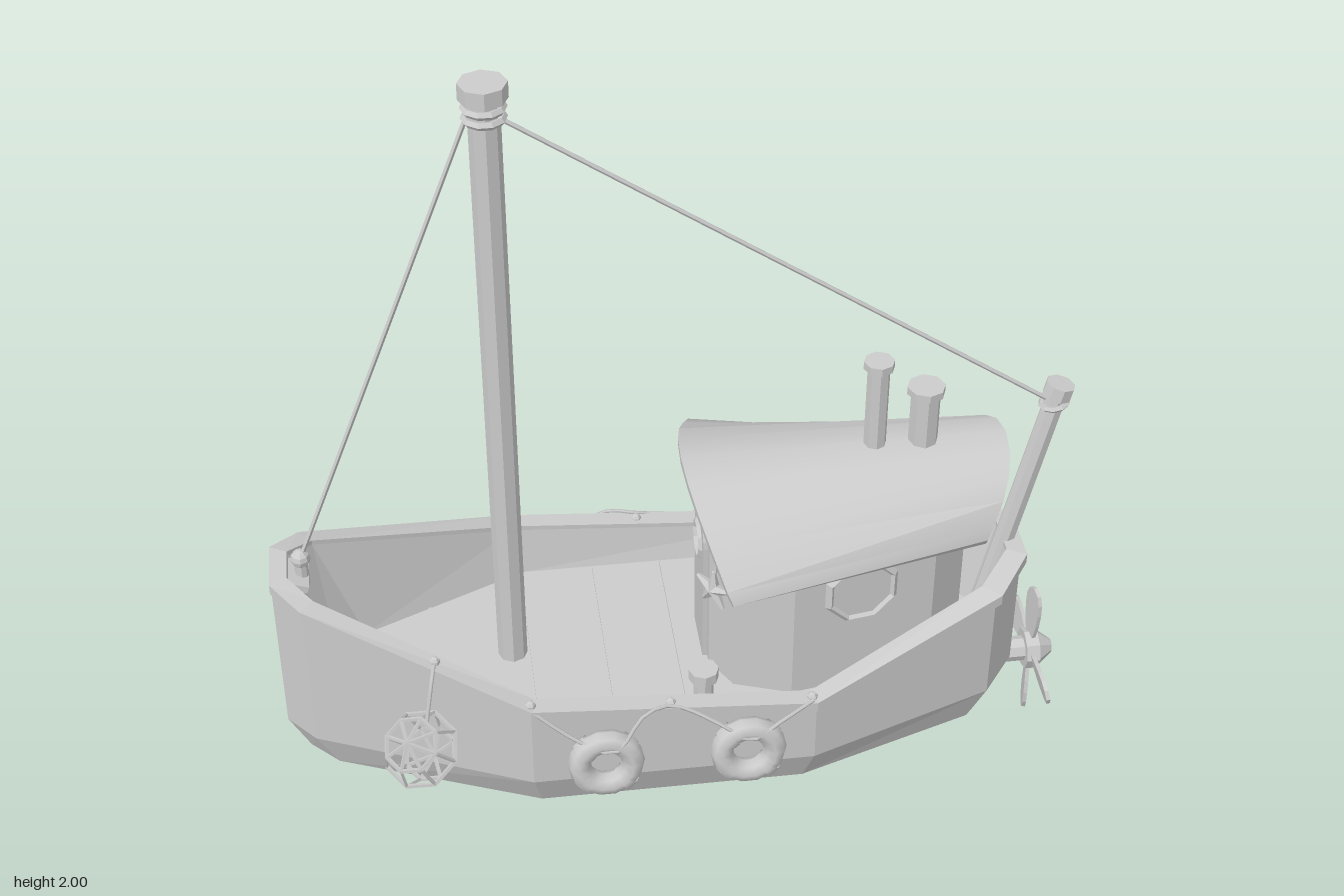
import * as THREE from 'three';
import { toCreasedNormals } from 'three/addons/utils/BufferGeometryUtils.js';

const V = (x, y, z) => new THREE.Vector3(x, y, z);
const flat = new THREE.MeshStandardMaterial({ color: 0xcccccc, flatShading: true });
const smooth = new THREE.MeshStandardMaterial({ color: 0xcccccc });
const thin = new THREE.MeshStandardMaterial({ color: 0xcccccc, side: THREE.DoubleSide });

// Skin through closed rings of equal length, with both ends capped
function loft(rings, closed = false) {
  const pos = [], n = rings[0].length;
  const tri = (...p) => p.forEach(v => pos.push(v.x, v.y, v.z));
  const last = closed ? rings.length : rings.length - 1;
  for (let r = 0; r < last; r++) {
    const a = rings[r], b = rings[(r + 1) % rings.length];
    for (let i = 0; i < n; i++) {
      const j = (i + 1) % n;
      tri(a[i], a[j], b[j]);
      tri(a[i], b[j], b[i]);
    }
  }
  if (!closed) [rings[0], rings[rings.length - 1]].forEach((ring, end) => {
    const c = ring.reduce((s, p) => s.add(p), V(0, 0, 0)).divideScalar(n);
    for (let i = 0; i < n; i++) {
      const j = (i + 1) % n;
      end ? tri(c, ring[i], ring[j]) : tri(c, ring[j], ring[i]);
    }
  });
  const g = new THREE.BufferGeometry();
  g.setAttribute('position', new THREE.Float32BufferAttribute(pos, 3));
  g.computeVertexNormals();
  return g;
}

// Mirror a half outline of [x, z] pairs into a full ring; y is a number or a list
function ring(half, y, sz = 1) {
  const side = half.map(([x, z], i) => V(x, Array.isArray(y) ? y[i] : y, z * sz));
  return [...side, ...side.map(p => V(p.x, p.y, -p.z)).reverse()];
}

export function createModel() {
  const model = new THREE.Group();
  model.name = 'fishingBoat';

  function add(name, geo, p = [0, 0, 0], rot = [0, 0, 0], mat = flat, parent = model) {
    const m = new THREE.Mesh(geo, mat);
    m.name = name;
    m.position.set(...p);
    m.rotation.set(...rot);
    parent.add(m);
    return m;
  }
  function rod(name, a, b, r, sides = 6, parent = model, r2 = r) {
    const d = V(...b).sub(V(...a));
    const m = add(name, new THREE.CylinderGeometry(r2, r, d.length(), sides), [0, 0, 0], [0, 0, 0], flat, parent);
    m.position.set(...a).addScaledVector(d, 0.5);
    m.quaternion.setFromUnitVectors(V(0, 1, 0), d.normalize());
    return m;
  }
  const rope = (name, pts, r = 0.005) =>
    add(name, new THREE.TubeGeometry(new THREE.CatmullRomCurve3(pts.map(p => V(...p)), false, 'centripetal'), 24, r, 5), undefined, undefined, smooth);
  const group = (name, p, rot = [0, 0, 0]) => {
    const g = new THREE.Group();
    g.name = name;
    g.position.set(...p);
    g.rotation.set(...rot);
    model.add(g);
    return g;
  };

  // Hull: outside up to the rail, then inside down to the deck
  const plan = [[-1, 0.06], [-0.93, 0.14], [-0.4, 0.365], [0.3, 0.365], [0.78, 0.19], [0.87, 0.07]];
  const inner = [[-0.96, 0.05], [-0.9, 0.115], [-0.39, 0.33], [0.29, 0.33], [0.75, 0.16], [0.835, 0.055]];
  const deck = [[-0.86, 0.05], [-0.79, 0.12], [-0.37, 0.31], [0.23, 0.31], [0.68, 0.15], [0.78, 0.05]];
  const chine = [[-0.95, 0.05], [-0.88, 0.12], [-0.38, 0.32], [0.28, 0.32], [0.74, 0.165], [0.82, 0.06]];
  const bottom = [[-0.82, 0.03], [-0.76, 0.08], [-0.34, 0.26], [0.25, 0.26], [0.68, 0.12], [0.77, 0.04]];
  const sheer = [0.69, 0.665, 0.48, 0.425, 0.565, 0.59];
  add('hull', loft([ring(bottom, 0.1), ring(chine, 0.14), ring(plan, 0.245), ring(plan, sheer), ring(inner, sheer), ring(deck, 0.35)]));
  add('keel', new THREE.BoxGeometry(1.55, 0.03, 0.03), [0, 0.095, 0]);
  const grow = plan.map(([x, z]) => [x + (x < -0.9 ? -0.003 : x > 0.7 ? 0.012 : 0), z + 0.013]);
  const lift = d => sheer.map(y => y + d);
  add('rail', loft([ring(grow, lift(-0.015)), ring(grow, lift(0.013)), ring(inner, lift(0.013)), ring(inner, lift(-0.015))], true));
  for (const [x, w] of [[-0.62, 0.19], [-0.37, 0.3], [-0.18, 0.3], [0, 0.3]])
    add('deckSeam', new THREE.BoxGeometry(0.012, 0.01, 2 * w), [x, 0.353, 0]);

  // Wheelhouse with gable ends closing against the roof
  const cabin = [[0.07, 0.1], [0.12, 0.19], [0.26, 0.24], [0.62, 0.18], [0.71, 0.1]];
  add('cabin', loft([ring(cabin, 0.34), ring(cabin, 0.77), ring(cabin, 0.87, 0.6), ring(cabin, 0.915, 0.22)]));
  // Arched roof: y, half width at the front, half width at the back
  const arch = [[0.76, 0.36, 0.2], [0.79, 0.345, 0.19], [0.85, 0.25, 0.165], [0.895, 0.17, 0.125], [0.925, 0.09, 0.07], [0.937, 0, 0]];
  const spans = [...arch, ...arch.slice(0, -1).reverse().map(([y, f, b]) => [y, -f, -b])];
  add('roof', toCreasedNormals(loft(spans.map(([y, f, b]) => {
    const k = (y - 0.76) / 0.18, x0 = 0.09 - 0.08 * k, x1 = 0.74 + 0.08 * k, t = 0.94;
    return [V(x0, y, f), V(x1, y, b), V(x1, y - 0.02, b * t), V(x0, y - 0.02, f * t)];
  })), 0.5), undefined, undefined, smooth);

  // Octagonal side windows
  for (const s of [1, -1]) {
    const w = group('sideWindow', [0.43, 0.65, s * 0.213], [0, s > 0 ? 0.165 : Math.PI - 0.165, 0]);
    add('windowFrame', new THREE.TorusGeometry(0.088, 0.013, 4, 8), [0, 0, 0], [0, 0, Math.PI / 8], flat, w);
    add('windowPane', new THREE.CylinderGeometry(0.085, 0.085, 0.01, 8), [0, 0, 0], [Math.PI / 2, Math.PI / 8, 0], flat, w);
  }
  // Arched door with a round window
  const doorShape = new THREE.Shape().moveTo(-0.075, 0).lineTo(0.075, 0).lineTo(0.075, 0.35);
  doorShape.absarc(0, 0.35, 0.075, 0, Math.PI);
  doorShape.holes.push(new THREE.Path().absarc(0, 0.33, 0.045, 0, Math.PI * 2, true));
  const door = group('door', [0.07, 0.35, 0], [0, -Math.PI / 2, 0]);
  add('doorPanel', new THREE.ExtrudeGeometry(doorShape, { depth: 0.012, bevelEnabled: false, curveSegments: 6 }), undefined, undefined, flat, door);
  add('doorWindowFrame', new THREE.TorusGeometry(0.047, 0.009, 4, 10), [0, 0.33, 0.012], undefined, flat, door);

  // Chimneys
  for (const [x, r, top] of [[0.49, 0.028, 1.18], [0.61, 0.037, 1.095]]) {
    rod('chimney', [x, 0.88, 0], [x, top, 0], r, 8);
    rod('chimneyCap', [x, top - 0.02, 0], [x, top, 0], r + 0.01, 8);
  }

  // Mast, stern pole and stays
  rod('mast', [-0.42, 0.34, 0], [-0.42, 1.98, 0], 0.037, 8);
  rod('mastCap', [-0.42, 1.96, 0], [-0.42, 2, 0], 0.056, 8);
  for (const y of [1.915, 1.94]) add('mastLashing', new THREE.TorusGeometry(0.043, 0.01, 5, 10), [-0.42, y, 0], [Math.PI / 2, 0, 0]);
  rod('sternPole', [0.79, 0.35, 0], [0.94, 1.05, 0], 0.027, 8);
  rod('sternPoleCap', [0.937, 1.035, 0], [0.945, 1.07, 0], 0.037, 8);
  add('sternLashing', new THREE.TorusGeometry(0.032, 0.008, 5, 10), [0.933, 1.015, 0], [Math.PI / 2, 0.2, 0]);
  rod('foreStay', [-0.46, 1.915, 0], [-0.925, 0.72, 0], 0.006, 5);
  rod('backStay', [-0.38, 1.905, 0], [0.925, 1.02, 0], 0.006, 5);
  rod('bowPost', [-0.925, 0.64, 0], [-0.925, 0.72, 0], 0.017, 8);
  add('bowPostHead', new THREE.SphereGeometry(0.025, 8, 6), [-0.925, 0.72, 0]);
  add('bowPlate', new THREE.BoxGeometry(0.08, 0.02, 0.1), [-0.95, 0.67, 0], [0, 0, -0.33]);

  // Deck bollard
  rod('bollard', [0.04, 0.35, 0.22], [0.04, 0.42, 0.22], 0.025, 8);
  rod('bollardHead', [0.04, 0.41, 0.22], [0.04, 0.44, 0.22], 0.038, 8);

  // Propeller
  rod('propellerShaft', [0.8, 0.205, 0], [0.93, 0.205, 0], 0.033, 8);
  rod('propellerHub', [0.925, 0.205, 0], [0.96, 0.205, 0], 0.055, 8);
  rod('propellerNose', [0.96, 0.205, 0], [1, 0.205, 0], 0.05, 8, model, 0.018);
  const bladeShape = new THREE.Shape().moveTo(-0.012, 0.03).bezierCurveTo(-0.03, 0.08, -0.06, 0.2, 0, 0.205).bezierCurveTo(0.06, 0.2, 0.03, 0.08, 0.012, 0.03);
  const blade = new THREE.ExtrudeGeometry(bladeShape, { depth: 0.01, bevelEnabled: false, curveSegments: 6 }).translate(0, 0, -0.005).rotateY(Math.PI / 2 + 0.2);
  for (let i = 0; i < 4; i++) add('propellerBlade', blade, [0.943, 0.205, 0], [i * Math.PI / 2, 0, 0]);

  // Lifebuoys with bands, and the slack rope joining them to the rail
  function buoy(p, rot, R, t) {
    const g = group('lifebuoy', p, rot);
    add('buoyRing', new THREE.TorusGeometry(R, t, 8, 14), undefined, undefined, smooth, g);
    for (let i = 0; i < 4; i++)
      add('buoyBand', new THREE.TorusGeometry(R, t * 1.1, 8, 2, 0.35), undefined, [0, 0, i * Math.PI / 2 + 0.6], thin, g);
  }
  for (const s of [1, -1]) {
    const x1 = s > 0 ? -0.225 : -0.265, x2 = 0.125, z = s * 0.372;
    for (const x of [x1, x2]) buoy([x, 0.335, s * 0.408], [s * -0.08, 0, 0], 0.066, 0.029);
    rope('buoyRope', [[-0.4, 0.49, z], [x1 - 0.06, 0.41, s * 0.41], [x1 + 0.02, 0.385, s * 0.43], [-0.13, 0.465, s * 0.395], [-0.06, 0.47, z],
      [x2 - 0.06, 0.42, s * 0.41], [x2, 0.385, s * 0.43], [x2 + 0.08, 0.42, s * 0.41], [0.29, 0.445, z]]);
    for (const [x, y] of [[-0.4, 0.495], [-0.06, 0.465], [0.29, 0.44]])
      add('ropeCleat', new THREE.SphereGeometry(0.014, 6, 5), [x, y, s * 0.355]);
  }
  buoy([0.18, 0.57, -0.228], [0, 0.4, 0], 0.038, 0.016);

  // Caged float hung over the side
  const cage = group('netFloat', [-0.67, 0.375, 0.345], [0.5, 0.3, 0.35]);
  for (let i = 0; i < 4; i++) add('cageRib', new THREE.TorusGeometry(0.095, 0.005, 4, 8), undefined, [0, i * Math.PI / 4, 0], flat, cage);
  for (const [y, r] of [[-0.067, 0.067], [0, 0.095], [0.067, 0.067]])
    add('cageHoop', new THREE.TorusGeometry(r, 0.006, 4, 8), [0, y, 0], [Math.PI / 2, 0, 0], flat, cage);
  rope('floatRope', [[-0.62, 0.575, 0.25], [-0.63, 0.56, 0.3], [-0.65, 0.465, 0.345]]);
  add('ropeCleat', new THREE.SphereGeometry(0.014, 6, 5), [-0.62, 0.575, 0.255]);

  // Anchor on the other bow
  const anchor = group('anchor', [-0.785, 0.41, -0.228], [0, Math.PI + 0.41, 0]);
  rod('anchorShank', [0, -0.12, 0], [0, 0.12, 0], 0.011, 6, anchor);
  rod('anchorStock', [-0.05, 0.075, 0], [0.05, 0.075, 0], 0.009, 6, anchor);
  add('anchorEye', new THREE.TorusGeometry(0.02, 0.006, 5, 8), [0, 0.135, 0], undefined, flat, anchor);
  add('anchorArms', new THREE.TorusGeometry(0.085, 0.011, 5, 10, Math.PI), [0, -0.035, 0], [0, 0, Math.PI], flat, anchor);
  for (const s of [1, -1]) add('anchorFluke', new THREE.ConeGeometry(0.025, 0.05, 4), [s * 0.085, -0.02, 0], undefined, flat, anchor);
  rope('anchorRope', [[-0.785, 0.55, -0.23], [-0.78, 0.6, -0.225], [-0.77, 0.625, -0.2]]);

  // Star-shaped charm under the front of the roof
  rod('charmCord', [0.07, 0.87, 0.2], [0.07, 0.73, 0.2], 0.004, 5);
  const charm = group('hangingCharm', [0.065, 0.68, 0.2], [0, -0.9, 0]);
  for (let i = 0; i < 5; i++) {
    const a = Math.PI / 2 + i * Math.PI * 0.4;
    rod('charmArm', [0, 0, 0], [0.055 * Math.cos(a), 0.055 * Math.sin(a), 0], 0.017, 5, charm, 0.005);
  }
  return model;
}
